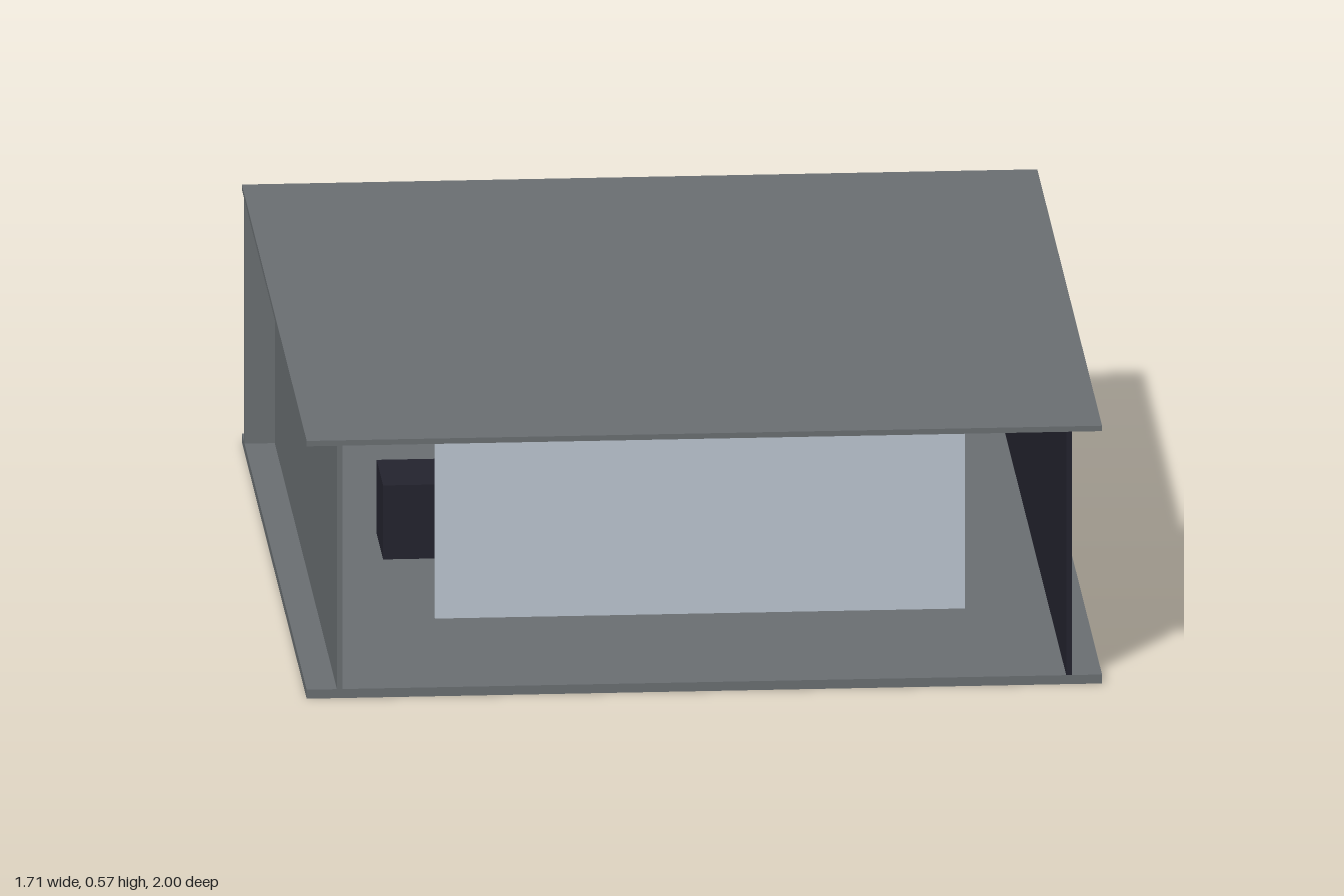
import * as THREE from 'three';

export function createModel() {
  const model = new THREE.Group();
  model.name = 'screeningRoom';

  const material = (name, color) => {
    const m = new THREE.MeshStandardMaterial({ color });
    m.name = name;
    return m;
  };
  const grey = material('wall grey', 0x6a6f72);
  const dark = material('dark navy', 0x23232e);
  const pale = material('screen pale blue', 0xbcc5d0);

  // Box given by its low and high corner
  const box = (name, mat, lo, hi) => {
    const size = hi.map((v, i) => v - lo[i]);
    const mesh = new THREE.Mesh(new THREE.BoxGeometry(...size), mat);
    mesh.position.set(...hi.map((v, i) => (v + lo[i]) / 2));
    mesh.name = name;
    model.add(mesh);
    return mesh;
  };

  const W = 0.855, D = 1, floorTop = 0.02, ceiling = 0.563, top = 0.575;

  // Floor and roof slabs
  box('floor', grey, [-W, 0, -D], [W, floorTop, D]);
  box('roof', grey, [-W, ceiling, -D], [W, top, D]);

  // Side walls run the full depth; the rear wall crosses both, the front is open
  box('greySideWall', grey, [-0.79, floorTop, -D], [-0.778, ceiling, D]);
  box('darkSideWall', dark, [0.778, floorTop, -D], [0.79, ceiling, D]);
  const rear = [[-W, -0.79], [-0.778, 0.778], [0.79, W]];
  for (const [a, b] of rear) {
    box('rearWall', grey, [a, floorTop, -0.931], [b, ceiling, -0.919]);
  }

  // Hanging screen near the open front
  box('screen', pale, [-0.57, 0.135, 0.858], [0.57, 0.53, 0.867]);

  // Row of three low seats behind the screen
  for (const x of [-0.428, 0, 0.428]) {
    box('seat', dark, [x - 0.193, floorTop, -0.2], [x + 0.193, 0.185, 0]);
  }

  return model;
}
